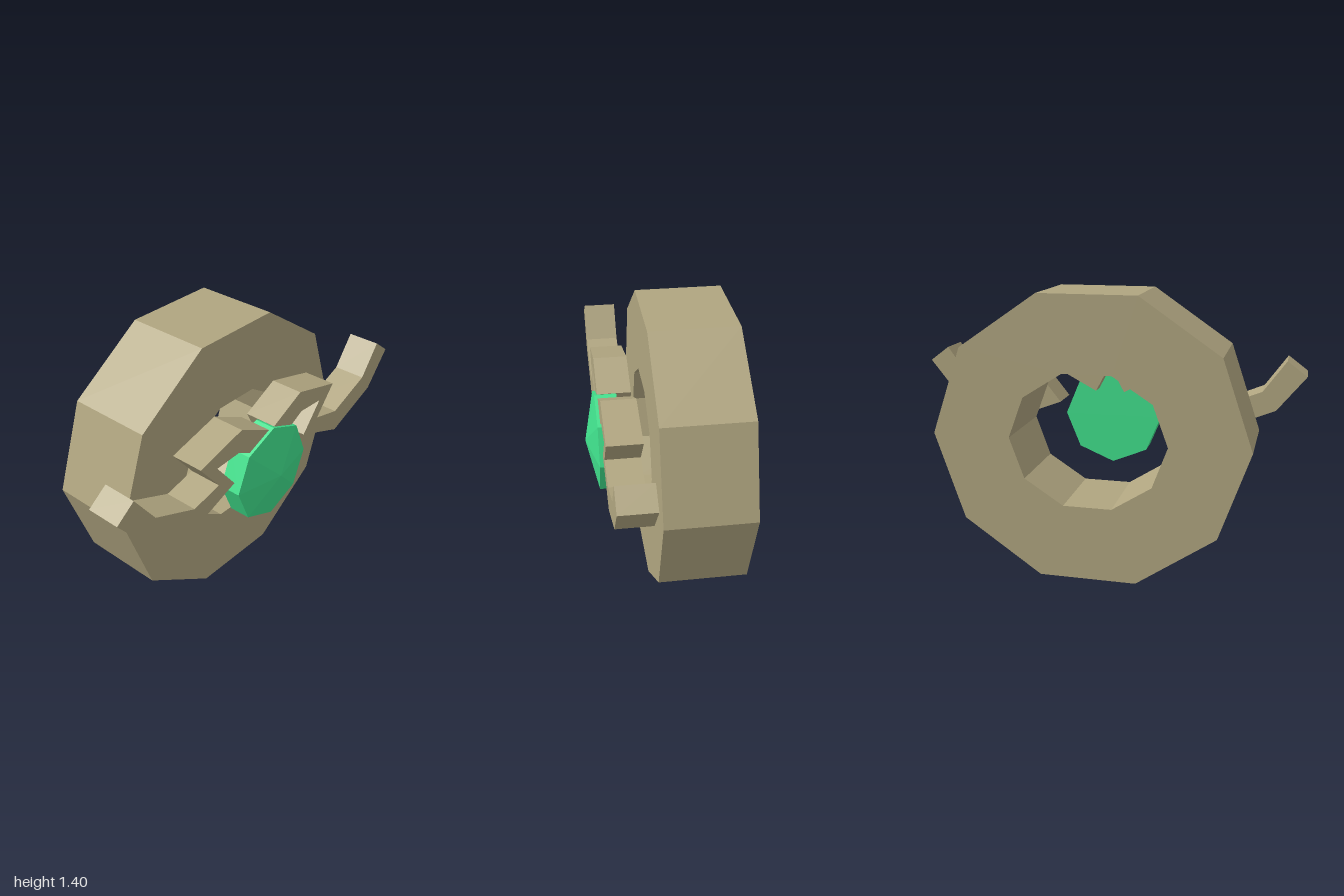
import * as THREE from 'three';

const metal = new THREE.MeshStandardMaterial({ color: 0xb0a580, flatShading: true });
const jade = new THREE.MeshStandardMaterial({ color: 0x40e08c, flatShading: true });

// Regular polygon stretched to the radii rx and ry
function polygon(sides, rx, ry, cy) {
  return Array.from({ length: sides }, (_, i) => {
    const a = (i / sides) * Math.PI * 2;
    return new THREE.Vector2(rx * Math.cos(a), cy + ry * Math.sin(a));
  });
}

// Flat outline extruded from zBack to zFront
function slab(name, shape, zBack, zFront, material) {
  const geometry = new THREE.ExtrudeGeometry(shape, { depth: zFront - zBack, bevelEnabled: false });
  geometry.translate(0, 0, zBack);
  const mesh = new THREE.Mesh(geometry, material);
  mesh.name = name;
  return mesh;
}

export function createModel() {
  const model = new THREE.Group();
  model.name = 'jewelledRing';
  const cy = 0.7;

  // Ten-sided ring band with a ten-sided hole
  const band = new THREE.Shape(polygon(10, 0.78, 0.736, cy));
  band.holes.push(new THREE.Path(polygon(10, 0.39, 0.344, cy)));
  model.add(slab('band', band, -0.36, 0.07, metal));

  // Zigzag arms, mirrored to either side of the gem
  const arm = [
    [0.02, 0.95], [0.22, 1.05], [0.5, 0.975], [0.38, 0.825], [0.545, 0.785],
    [0.785, 0.885], [0.9, 1.045], [1, 0.97], [0.855, 0.79], [0.555, 0.665],
    [0.27, 0.775], [0.39, 0.925], [0.24, 0.932], [0.075, 0.845],
  ];
  for (const [name, side] of [['leftArm', 1], ['rightArm', -1]]) {
    const outline = arm.map(([x, y]) => new THREE.Vector2(side * x, y));
    model.add(slab(name, new THREE.Shape(outline), 0.12, 0.29, metal));
  }

  // Eight-sided gem: straight girdle with a low pointed crown
  const gem = new THREE.Group();
  gem.name = 'gem';
  const r = 0.257;
  const girdle = new THREE.Mesh(new THREE.CylinderGeometry(r, r, 0.11, 8), jade);
  girdle.name = 'gemGirdle';
  girdle.position.y = 0.25;
  const crown = new THREE.Mesh(new THREE.ConeGeometry(r, 0.055, 8, 1, true), jade);
  crown.name = 'gemCrown';
  crown.position.y = 0.3325;
  gem.add(girdle, crown);
  gem.rotation.x = Math.PI / 2;
  gem.position.y = cy;
  model.add(gem);

  return model;
}
